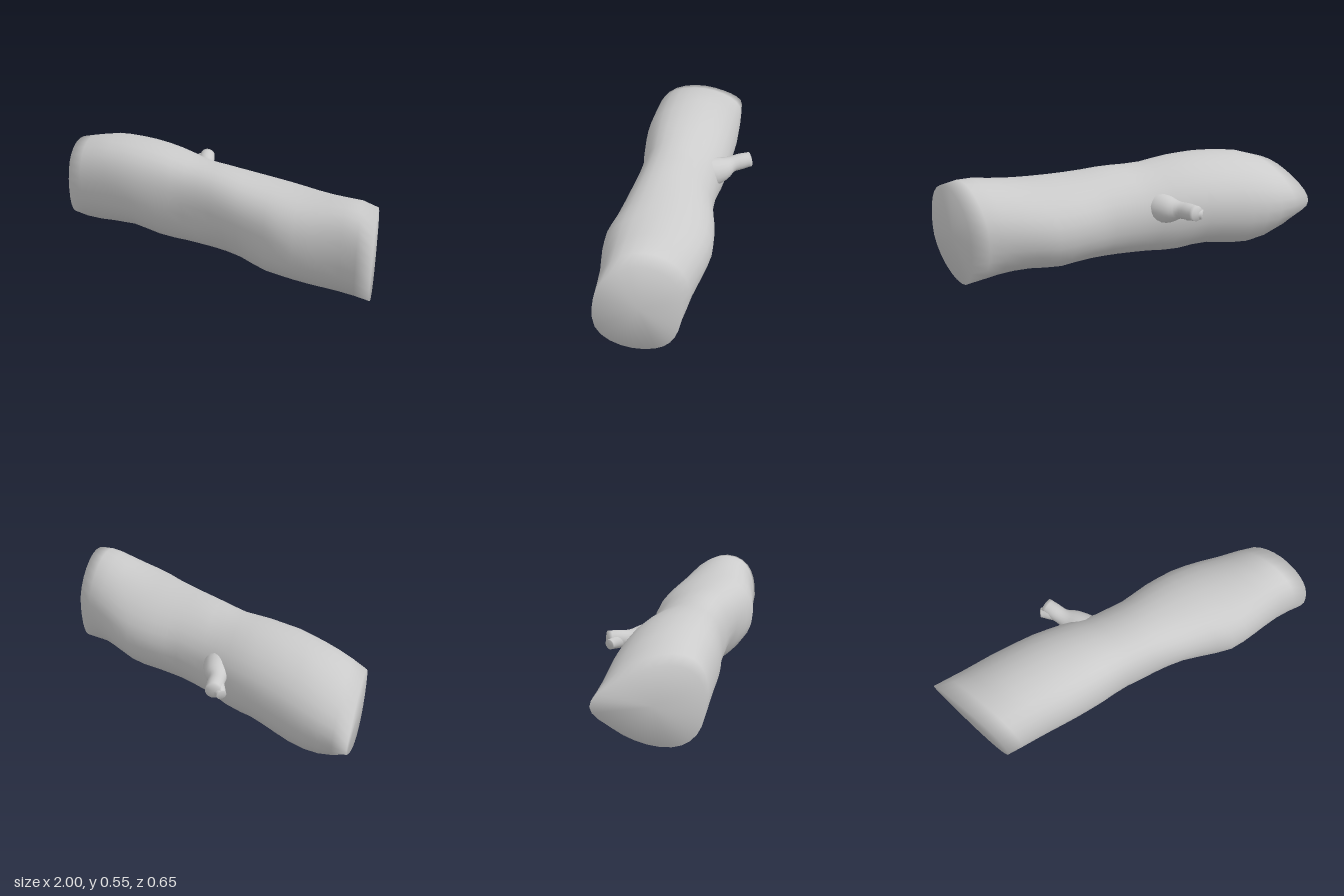
import * as THREE from 'three';

const material = new THREE.MeshStandardMaterial({ color: 0xcccccc });

// Log outline at stations along x: [x, top y, bottom y, front z, back z]
const OUTLINE = [
  [-1.0, 0.42, 0.18, 0.27, -0.17], [-0.9, 0.465, 0.085, 0.305, -0.18],
  [-0.8, 0.495, 0.035, 0.318, -0.185], [-0.7, 0.53, 0.022, 0.314, -0.19],
  [-0.57, 0.548, 0.038, 0.31, -0.19], [-0.42, 0.555, 0.06, 0.308, -0.188],
  [-0.25, 0.545, 0.035, 0.288, -0.178], [-0.1, 0.52, 0.045, 0.262, -0.152],
  [0.1, 0.522, 0.05, 0.265, -0.155], [0.25, 0.508, 0.05, 0.285, -0.19],
  [0.4, 0.503, 0.028, 0.302, -0.208], [0.54, 0.5, 0.042, 0.328, -0.195],
  [0.7, 0.515, 0.03, 0.298, -0.16], [0.82, 0.534, 0.012, 0.274, -0.14],
  [0.93, 0.52, 0.0, 0.266, -0.11], [1.0, 0.49, 0.0, 0.266, -0.1],
];

function linear(x, k) {
  const last = OUTLINE.length - 1;
  if (x <= OUTLINE[0][0]) return OUTLINE[0][k];
  for (let i = 0; i < last; i++) {
    const a = OUTLINE[i], b = OUTLINE[i + 1];
    if (x <= b[0]) return a[k] + (b[k] - a[k]) * (x - a[0]) / (b[0] - a[0]);
  }
  return OUTLINE[last][k];
}

// Outline value softened between the stations
const outline = (x, k) =>
  (linear(x - 0.03, k) + 2 * linear(x, k) + linear(x + 0.03, k)) / 4;

// Point on the bark at position x and angle t
function barkPoint(x, t) {
  const [top, bottom, front, back] = [1, 2, 3, 4].map(k => outline(x, k));
  const round = v => Math.sign(v) * Math.pow(Math.abs(v), 0.95);
  const c = round(Math.cos(t)), s = round(Math.sin(t));
  const midZ = 0.055, midY = bottom + (top - bottom) * 0.5;
  // slanting hollow on the front
  const dt = Math.atan2(Math.sin(t + 0.5), Math.cos(t + 0.5));
  const dx = x - 0.2 - 0.15 * dt;
  const hollow = 1 - 0.11 * Math.exp(-dx * dx / 0.02 - dt * dt / 0.25);
  // top leans forward; underside leans forward at the left cut, back at the other
  const { smoothstep } = THREE.MathUtils;
  const lean = s > 0 ? 0.045
    : 0.07 * (1 - smoothstep(x, -0.95, -0.6)) - 0.065 * smoothstep(x, 0.6, 0.95);
  return {
    y: midY + (s > 0 ? top - midY : midY - bottom) * s * hollow,
    z: midZ + (c > 0 ? front - midZ : midZ - back) * c * hollow + lean * s * s,
  };
}

// Smooth skin over closed rings of points, closed at the chosen ends
function skin(rings, closeStart, closeEnd) {
  const n = rings[0].length, last = (rings.length - 1) * n;
  const points = rings.flat(), index = [];
  for (let i = 0; i < last; i += n)
    for (let j = 0; j < n; j++) {
      const a = i + j, b = i + (j + 1) % n;
      index.push(a, a + n, b, b, a + n, b + n);
    }
  const fan = (offset, flip) => {
    const centre = new THREE.Vector3();
    for (let j = 0; j < n; j++) {
      const a = offset + j, b = offset + (j + 1) % n;
      centre.addScaledVector(points[a], 1 / n);
      index.push(points.length, flip ? b : a, flip ? a : b);
    }
    points.push(centre);
  };
  if (closeStart) fan(0, false);
  if (closeEnd) fan(last, true);
  const geometry = new THREE.BufferGeometry().setFromPoints(points);
  geometry.setIndex(index);
  geometry.computeVertexNormals();
  return geometry;
}

// Log rings run between two slanted cuts
function logRings(count = 22, sides = 28) {
  const rings = [];
  for (let i = 0; i <= count; i++) {
    const u = i / count, ring = [];
    for (let j = 0; j < sides; j++) {
      const t = j / sides * Math.PI * 2;
      let x = -0.93 + u * 1.86, p;
      for (let pass = 0; pass < 10; pass++) {
        p = barkPoint(x, t);
        const start = -0.928 + 0.42 * p.z;
        const end = 0.905 + 0.36 * p.z;
        x = start + (end - start) * u;
      }
      ring.push(new THREE.Vector3(x, p.y, p.z));
    }
    rings.push(ring);
  }
  return rings;
}

// Rings of varying radius along a path of [x, y, z, radius]
function branchRings(path, sides = 20, steps = 12) {
  const curve = new THREE.CatmullRomCurve3(path.map(p => new THREE.Vector3(p[0], p[1], p[2])));
  const radii = new THREE.SplineCurve(path.map((p, i) => new THREE.Vector2(i, p[3])));
  const up = new THREE.Vector3(0, 1, 0);
  return Array.from({ length: steps + 1 }, (_, i) => {
    const t = i / steps, centre = curve.getPoint(t), r = radii.getPoint(t).y;
    const along = curve.getTangent(t);
    const side = along.clone().cross(up).normalize();
    const upright = side.clone().cross(along).normalize();
    return Array.from({ length: sides }, (_, j) => {
      const a = j / sides * Math.PI * 2;
      return centre.clone().addScaledVector(side, r * Math.cos(a))
        .addScaledVector(upright, r * Math.sin(a));
    });
  });
}

function addMesh(group, name, geometry) {
  const mesh = new THREE.Mesh(geometry, material);
  mesh.name = name;
  group.add(mesh);
}

export function createModel() {
  const model = new THREE.Group();
  model.name = 'log';

  // Trunk with both ends cut at a slant
  addMesh(model, 'trunk', skin(logRings(), true, true));

  // Branch stub at the back, with a low knob on its side
  addMesh(model, 'branch', skin(branchRings([
    [-0.16, 0.335, -0.1, 0.085], [-0.195, 0.34, -0.16, 0.068],
    [-0.23, 0.35, -0.205, 0.045], [-0.26, 0.356, -0.255, 0.044],
    [-0.285, 0.36, -0.304, 0.04],
  ]), false, true));
  addMesh(model, 'knob', skin(branchRings([
    [-0.255, 0.35, -0.245, 0.042], [-0.29, 0.346, -0.265, 0.036],
    [-0.325, 0.342, -0.283, 0.026],
  ]), false, true));
  return model;
}
